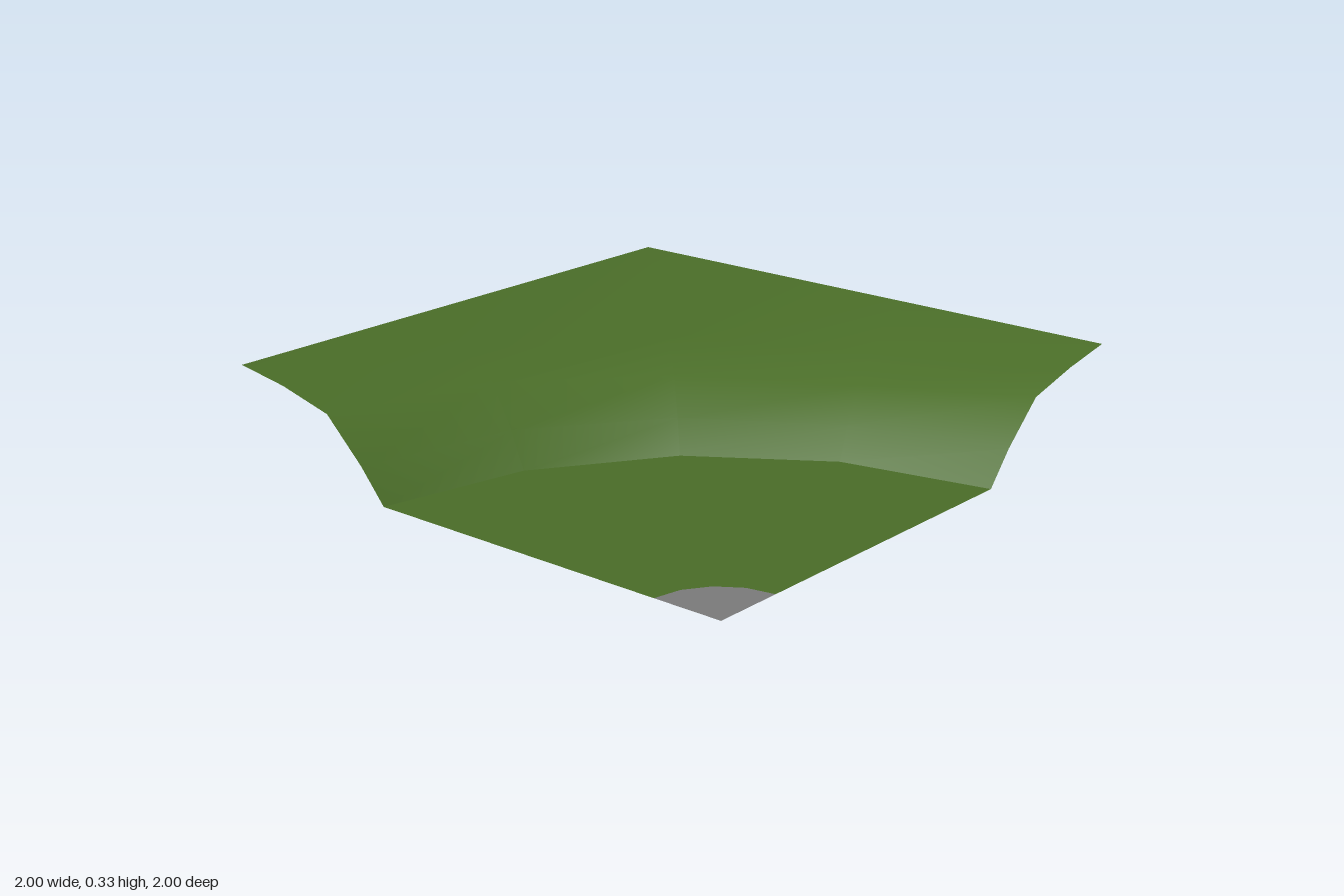
import * as THREE from 'three';

export function createModel() {
  const group = new THREE.Group();
  const grass = new THREE.MeshStandardMaterial({ name: 'grass green', color: 0x4a6d28, side: THREE.DoubleSide });
  const stone = new THREE.MeshStandardMaterial({ name: 'stone grey', color: 0x7b7b7b, side: THREE.DoubleSide });

  const add = (name, geometry, material) => {
    const mesh = new THREE.Mesh(geometry, material);
    mesh.name = name;
    group.add(mesh);
    return mesh;
  };

  // Everything is a quarter turn around the corner (1, 1), in four segments
  const SEGMENTS = 4;
  const DISC = 0.243, FLOOR = 1.35, TOP = 0.33;
  const flat = (geometry) => geometry.rotateX(-Math.PI / 2).translate(1, 0, 1);

  add('centreDisc', flat(new THREE.CircleGeometry(DISC, SEGMENTS, Math.PI / 2, Math.PI / 2)), stone);
  add('floor', flat(new THREE.RingGeometry(DISC, FLOOR, SEGMENTS, 1, Math.PI / 2, Math.PI / 2)), grass);

  // Bank: rings with a radius and one height per spoke, then the square outer edge
  const rings = [
    { r: FLOOR, h: [0, 0, 0, 0, 0] },
    { r: 1.445, h: [0.11, 0.095, 0.1, 0.11, 0.11] },
    { r: 1.595, h: [0.245, 0.188, 0.2, 0.233, 0.25] },
    { r: 1.8, h: [0.295, 0.245, 0.268, 0.288, 0.3] },
    { r: null, h: [TOP, TOP, TOP, TOP, TOP] },
  ];
  const positions = [];
  for (const { r, h } of rings) {
    for (let i = 0; i <= SEGMENTS; i++) {
      const a = (i / SEGMENTS) * Math.PI / 2;
      const s = Math.sin(a), c = Math.cos(a);
      const radius = r ?? 2 / Math.max(s, c);
      positions.push(1 - radius * s, h[i], 1 - radius * c);
    }
  }
  const index = [];
  const n = SEGMENTS + 1;
  for (let k = 0; k < rings.length - 1; k++) {
    for (let i = 0; i < SEGMENTS; i++) {
      const a = k * n + i, b = a + n;
      index.push(a, b, a + 1, b, b + 1, a + 1);
    }
  }
  const bank = new THREE.BufferGeometry();
  bank.setAttribute('position', new THREE.Float32BufferAttribute(positions, 3));
  bank.setIndex(index);
  bank.computeVertexNormals();
  add('grassBank', bank, grass);

  return group;
}
